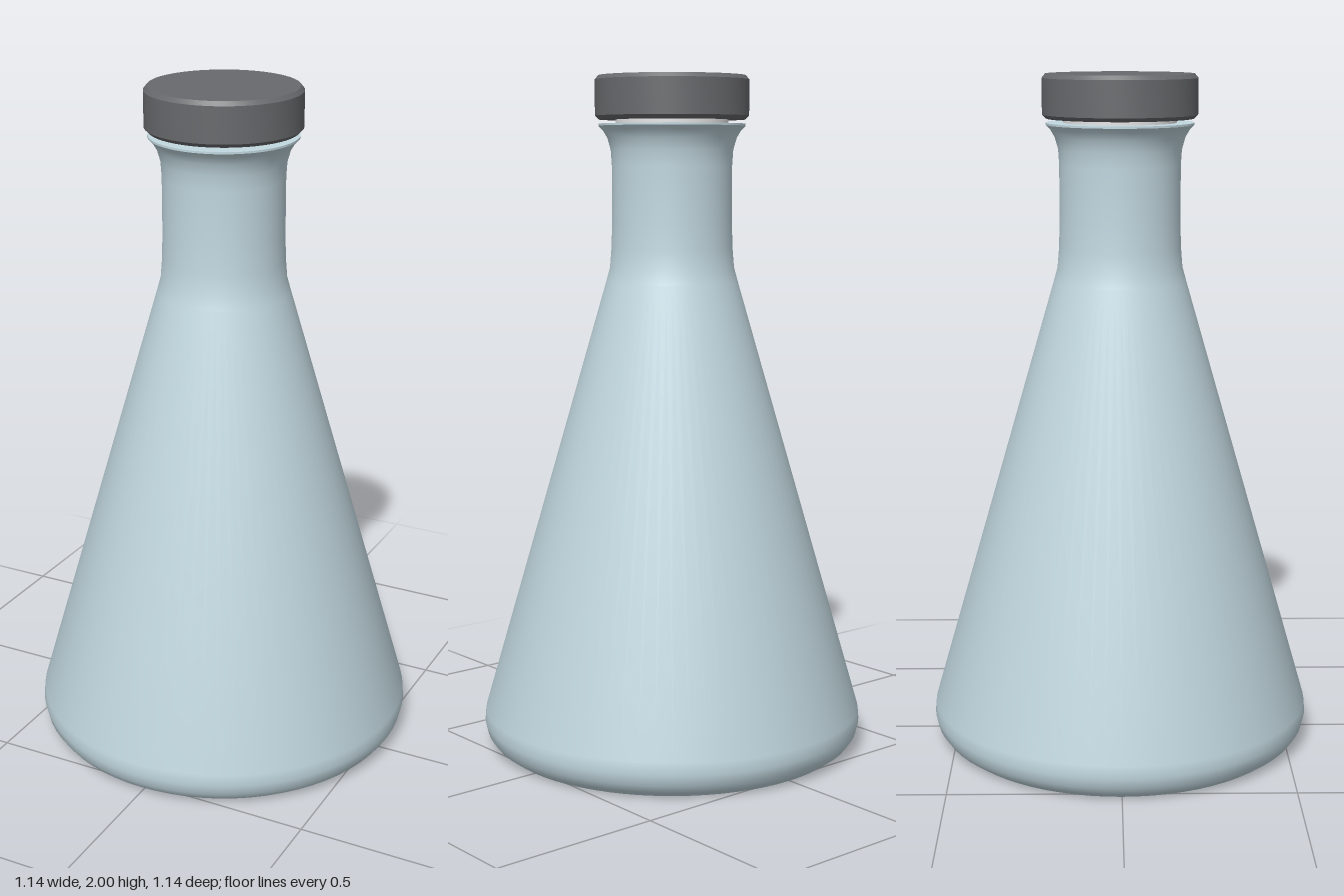
import * as THREE from 'three';
import { toCreasedNormals } from 'three/addons/utils/BufferGeometryUtils.js';

const glass = new THREE.MeshStandardMaterial({ color: 0xc2d8e0 });
glass.name = 'paleBlueGlass';
const rubber = new THREE.MeshStandardMaterial({ color: 0x68696c });
rubber.name = 'darkGreyRubber';
const seal = new THREE.MeshStandardMaterial({ color: 0xf8f8f8 });
seal.name = 'whiteSeal';

// Turns a [radius, height] profile, listed from bottom to top, around the y axis
function turned(name, profile, material) {
  const points = profile.map(([r, y]) => new THREE.Vector2(r, y));
  const geometry = toCreasedNormals(new THREE.LatheGeometry(points, 72), 0.5);
  const mesh = new THREE.Mesh(geometry, material);
  mesh.name = name;
  return mesh;
}

export function createModel() {
  const model = new THREE.Group();
  model.name = 'stopperedFlask';

  // Conical body with rounded foot, straight neck and flared lip
  model.add(turned('flaskBody', [
    [0, 0], [0.52, 0], [0.545, 0.018], [0.562, 0.042], [0.57, 0.075], [0.567, 0.11],
    [0.195, 1.4], [0.184, 1.44], [0.179, 1.5], [0.177, 1.58],
    [0.177, 1.74], [0.18, 1.785], [0.19, 1.82], [0.203, 1.842], [0.216, 1.855],
    [0.216, 1.861], [0.16, 1.861],
  ], glass));

  // Plug seated in the neck, showing as a thin line under the cap
  model.add(turned('stopperPlug', [
    [0, 1.72], [0.15, 1.72], [0.165, 1.8], [0.165, 1.88], [0, 1.88],
  ], seal));

  // Cap with bevelled rims
  model.add(turned('stopperCap', [
    [0, 1.873], [0.215, 1.873], [0.226, 1.884], [0.226, 1.988], [0.216, 2], [0, 2],
  ], rubber));

  return model;
}
